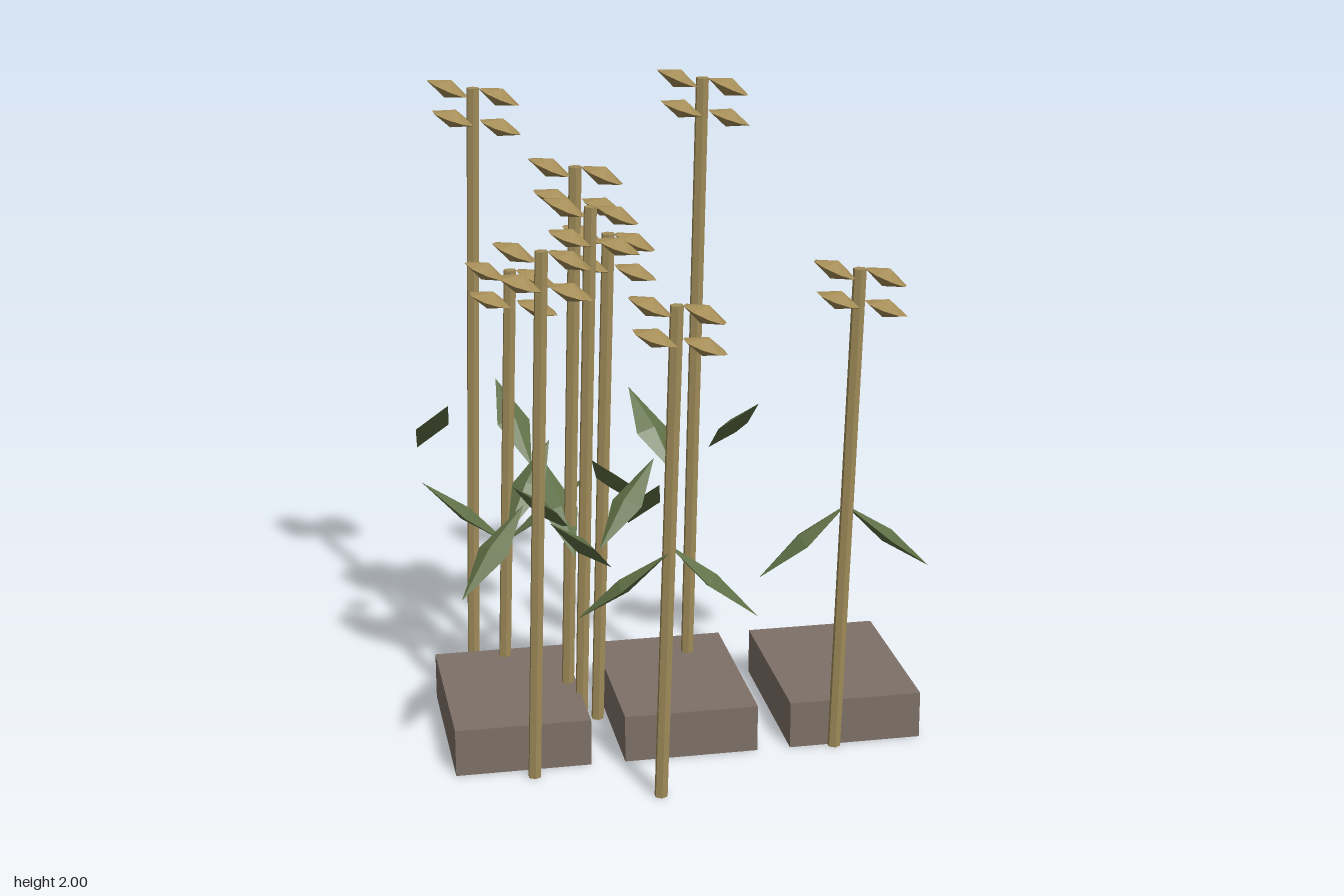
import * as THREE from 'three';

const flat = (name, color) => {
  const m = new THREE.MeshStandardMaterial({ color });
  m.name = name;
  return m;
};

export function createModel() {
  const model = new THREE.Group();
  model.name = 'plantBed';

  const stoneMat = flat('stone', 0x7d7067);
  const stemMat = flat('dryStem', 0xa08c5a);
  const seedMat = flat('seedHead', 0xa68e58);
  const leafMat = flat('leaf', 0x5f7046);

  const add = (parent, geo, mat, name, x, y, z) => {
    const mesh = new THREE.Mesh(geo, mat);
    mesh.name = name;
    mesh.position.set(x, y, z);
    parent.add(mesh);
    return mesh;
  };

  // faceted double pyramid with its axis along y
  const bipyramid = (sides, rx, ry, rz) => {
    const g = new THREE.SphereGeometry(1, sides, 2).scale(rx, ry, rz).toNonIndexed();
    g.computeVertexNormals();
    return g;
  };

  // base slabs
  const slab = new THREE.BoxGeometry(0.405, 0.145, 0.57);
  for (const x of [-0.48, 0.027, 0.533]) add(model, slab, stoneMat, 'slab', x, 0.0725, -0.035);

  const headGeo = bipyramid(8, 0.067, 0.028, 0.067);
  const leafGeo = bipyramid(4, 0.17, 0.022, 0.055);

  // seed heads: offset from the stem top, tilt, turn
  const heads = [
    [-0.075, 0, -0.42, 0],
    [0.078, -0.03, -0.42, 0],
    [-0.062, -0.09, -0.34, Math.PI / 8],
    [0.08, -0.122, -0.34, Math.PI / 8],
  ];

  // plants: base x, z, height, leaf direction in degrees
  const plants = [
    [-0.553, -0.427, 1.92, 73],
    [-0.472, -0.275, 1.395, 185],
    [0.098, -0.195, 1.97, -113],
    [-0.307, -0.037, 1.755, -53],
    [-0.207, -0.07, 1.545, -101],
    [-0.277, 0.045, 1.655, 138],
    [-0.455, 0.295, 1.595, -40],
    [0.465, 0.258, 1.49, 0],
    [-0.112, 0.488, 1.475, 17],
  ];

  for (const [x, z, h, deg] of plants) {
    const plant = new THREE.Group();
    plant.name = 'plant';
    plant.position.set(x, 0, z);
    model.add(plant);

    // stem leaning towards +x
    const lean = 0.046;
    const stemGeo = new THREE.CylinderGeometry(0.02, 0.02, h, 6).toNonIndexed();
    stemGeo.computeVertexNormals();
    const p = stemGeo.attributes.position;
    for (let i = 0; i < p.count; i++) p.setX(i, p.getX(i) + (p.getY(i) / h + 0.5) * lean);
    stemGeo.computeVertexNormals();
    add(plant, stemGeo, stemMat, 'stem', 0, h / 2, 0);

    // four seed heads
    for (const [dx, dy, tilt, turn] of heads) {
      const head = add(plant, headGeo, seedMat, 'seedHead', lean + dx, h + dy, 0);
      head.rotation.set(0, turn, tilt, 'ZYX');
    }

    // pair of leaves sloping opposite ways
    for (const side of [-1, 1]) {
      const leaf = add(plant, leafGeo, leafMat, 'leaf', 0.02 + side * 0.127, h * 0.45, 0);
      leaf.rotation.set(0, -deg * Math.PI / 180, -side * 0.68, 'YXZ');
    }
  }
  return model;
}
